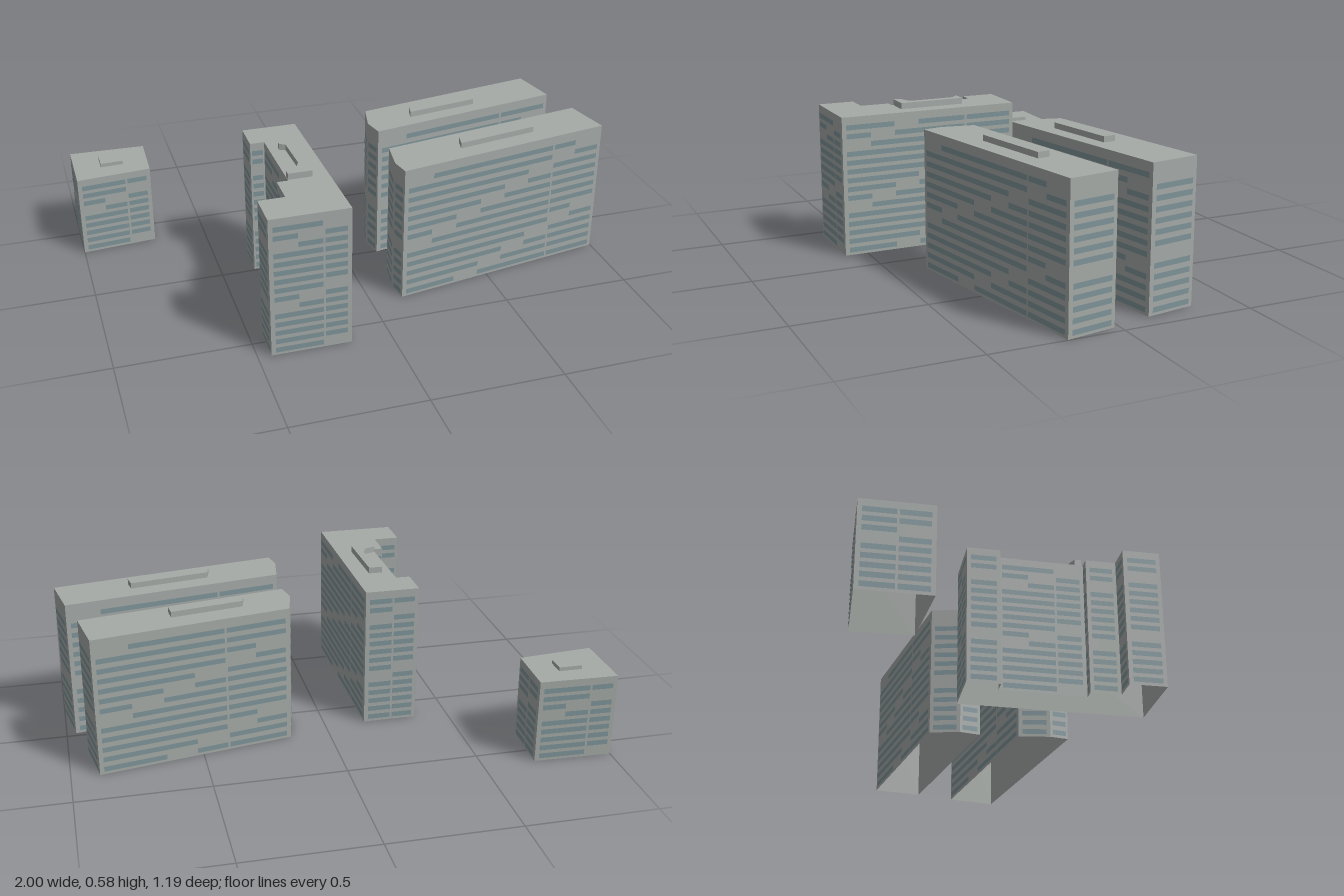
import * as THREE from 'three';
import { mergeGeometries } from 'three/addons/utils/BufferGeometryUtils.js';

const concrete = new THREE.MeshStandardMaterial({ color: 0xa5aaa7, side: THREE.DoubleSide });
concrete.name = 'concrete';
const glass = new THREE.MeshStandardMaterial({ color: 0x7f949a });
glass.name = 'window glass';

// Footprints are [x, z] corners, clockwise seen from above.
const buildings = [
  {
    name: 'backSlab', height: 0.54, floors: 13, pitch: 0.0394, column: 0.11,
    base: [[0.152, -0.195], [0.894, -0.328], [0.926, -0.136], [0.141, 0.005], [0.125, -0.077]],
    plant: [[0.318, -0.136], [0.59, -0.184], [0.595, -0.136], [0.307, -0.088]], plantTop: 0.562,
  },
  {
    name: 'frontSlab', height: 0.54, floors: 13, pitch: 0.0394, column: 0.11,
    base: [[0.131, 0.16], [0.964, 0.019], [0.998, 0.211], [0.125, 0.36], [0.112, 0.286]],
    plant: [[0.403, 0.19], [0.707, 0.136], [0.715, 0.184], [0.392, 0.24]], plantTop: 0.562,
  },
  {
    name: 'steppedTower', height: 0.552, floors: 15, pitch: 0.035, column: 0.1,
    base: [[-0.368, -0.136], [-0.158, -0.136], [-0.15, 0.59], [-0.45, 0.59], [-0.45, 0.446],
      [-0.35, 0.446], [-0.35, 0.328], [-0.308, 0.328], [-0.313, -0.008], [-0.368, -0.008]],
    plant: [[-0.275, 0.06], [-0.222, 0.06], [-0.216, 0.322], [-0.307, 0.322], [-0.307, 0.296],
      [-0.264, 0.28], [-0.248, 0.243], [-0.253, 0.083], [-0.275, 0.075]], plantTop: 0.576,
  },
  {
    name: 'smallBlock', height: 0.327, floors: 9, pitch: 0.0335, column: 0.1,
    base: [[-1, -0.595], [-0.7, -0.585], [-0.707, -0.366], [-1, -0.339]],
    plant: [[-0.894, -0.51], [-0.804, -0.51], [-0.804, -0.44], [-0.894, -0.435]], plantTop: 0.342,
  },
];

// Calls fn(length, place) per wall; place puts a flat panel on that wall, facing outwards.
function eachWall(points, fn) {
  points.forEach(([ax, az], i) => {
    const [bx, bz] = points[(i + 1) % points.length];
    const dx = bx - ax, dz = bz - az, length = Math.hypot(dx, dz);
    const place = (geometry) => geometry
      .rotateY(Math.atan2(dz, -dx))
      .translate((ax + bx) / 2, 0, (az + bz) / 2);
    fn(length, place);
  });
}

// Walls and flat roof, open underneath
function shell(points, bottom, top) {
  const shape = new THREE.Shape(points.map(([x, z]) => new THREE.Vector2(x, -z)));
  const parts = [new THREE.ShapeGeometry(shape).rotateX(-Math.PI / 2).translate(0, top, 0)];
  eachWall(points, (length, place) => {
    parts.push(place(new THREE.PlaneGeometry(length, top - bottom).translate(0, (top + bottom) / 2, 0)));
  });
  return mergeGeometries(parts);
}

// Ribbon windows with blank bays stepping diagonally up the wall
function windows({ base, floors, pitch, column }) {
  const parts = [];
  eachWall(base, (length, place) => {
    if (length < 0.04) return;
    const count = Math.max(1, Math.floor(length / column + 0.1));
    const seam = Math.floor(count * 0.75);
    const margin = Math.min(0.016, length * 0.12);
    const bay = (length - 2 * margin) / count;
    for (let floor = 0; floor < floors; floor++) {
      for (let c = 0; c < count; c++) {
        if ((c - floor + 70) % 7 === 2) continue;
        const gap = c === seam && seam > 0 ? 0.008 : 0;
        parts.push(place(new THREE.PlaneGeometry(bay - gap, 0.02)
          .translate(-length / 2 + margin + (c + 0.5) * bay + gap / 2, 0.021 + floor * pitch, 0.002)));
      }
    }
  });
  return mergeGeometries(parts);
}

export function createModel() {
  const model = new THREE.Group();
  model.name = 'buildingGroup';
  for (const b of buildings) {
    const building = new THREE.Group();
    building.name = b.name;
    const add = (name, geometry, material) => {
      const mesh = new THREE.Mesh(geometry, material);
      mesh.name = name;
      building.add(mesh);
    };
    add('wallsAndRoof', shell(b.base, 0, b.height), concrete);
    add('roofPlant', shell(b.plant, b.height, b.plantTop), concrete);
    add('windowBands', windows(b), glass);
    model.add(building);
  }
  return model;
}
